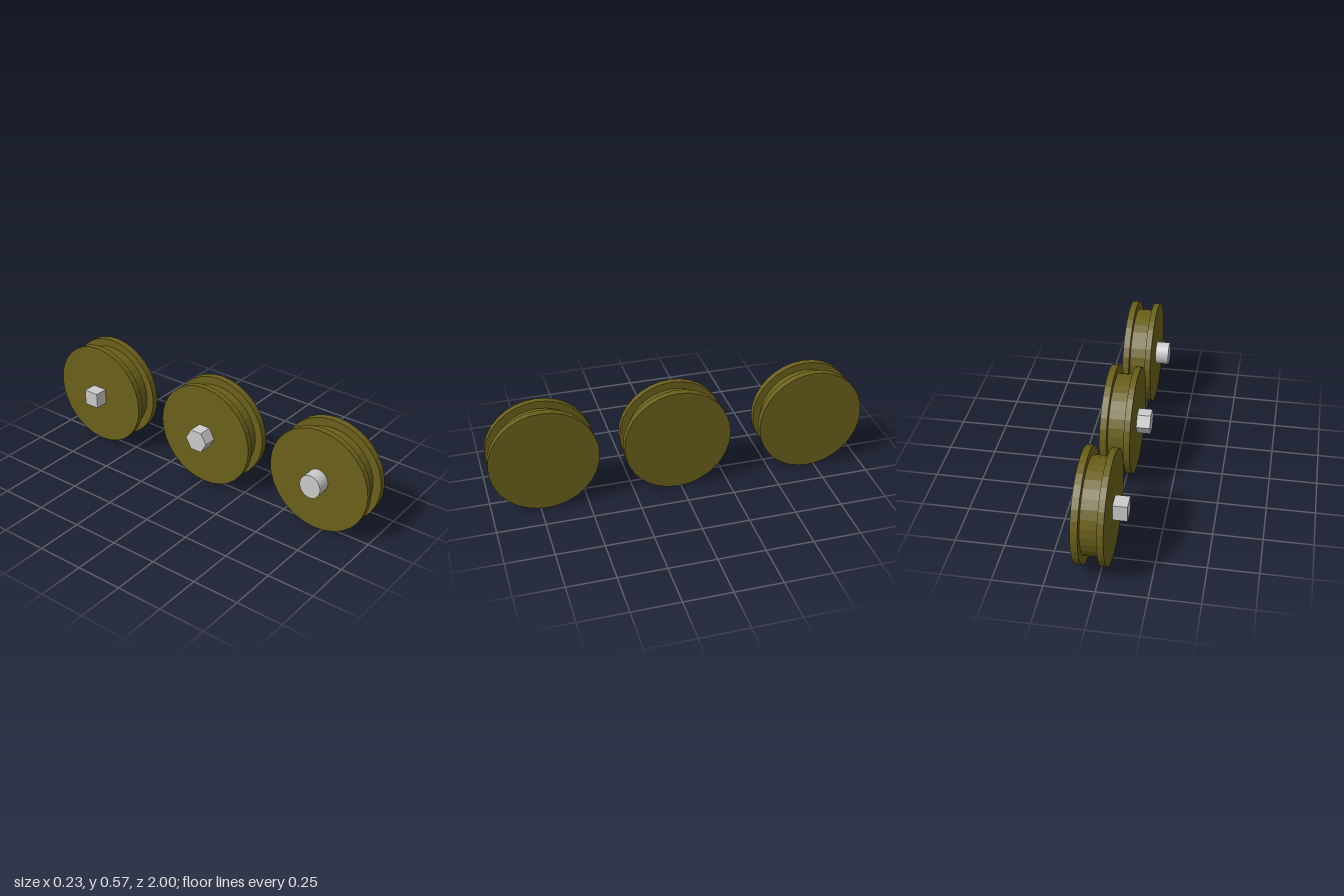
import * as THREE from 'three';

const AXLE_Y = 0.285;
const olive = new THREE.MeshStandardMaterial({ color: 0x6a601a, flatShading: true });
const grey = new THREE.MeshStandardMaterial({ color: 0xcccccc, flatShading: true });
const greySmooth = new THREE.MeshStandardMaterial({ color: 0xcccccc });

// Disc or prism lying along x, between x0 and x1
function disc(name, radius, x0, x1, sides, material) {
  const geometry = new THREE.CylinderGeometry(radius, radius, x1 - x0, sides);
  geometry.rotateZ(Math.PI / 2);
  geometry.translate((x0 + x1) / 2, 0, 0);
  const mesh = new THREE.Mesh(geometry, material);
  mesh.name = name;
  return mesh;
}

// Spool: two flanges with a narrower drum between them
function spool(name, z, peg) {
  const group = new THREE.Group();
  group.name = name;
  group.add(
    disc('innerFlange', 0.282, -0.042, -0.01, 32, olive),
    disc('drum', 0.2415, -0.01, 0.077, 32, olive),
    disc('outerFlange', 0.285, 0.077, 0.113, 32, olive),
    peg
  );
  group.position.set(0, AXLE_Y, z);
  return group;
}

export function createModel() {
  const model = new THREE.Group();
  model.name = 'spoolSet';
  const x0 = -0.114, x1 = -0.042;

  // Square peg
  const squarePeg = new THREE.Mesh(new THREE.BoxGeometry(x1 - x0, 0.085, 0.085), grey);
  squarePeg.name = 'squarePeg';
  squarePeg.position.x = (x0 + x1) / 2;

  // Hexagonal peg, flat side up
  const hexPeg = disc('hexPeg', 0.065, x0, x1, 6, grey);

  // Round peg, slightly taller than wide
  const roundPeg = disc('roundPeg', 0.0635, x0, x1, 32, greySmooth);
  roundPeg.scale.z = 0.92;

  model.add(
    spool('backSpool', -0.716, squarePeg),
    spool('middleSpool', 0.016, hexPeg),
    spool('frontSpool', 0.716, roundPeg)
  );
  return model;
}
